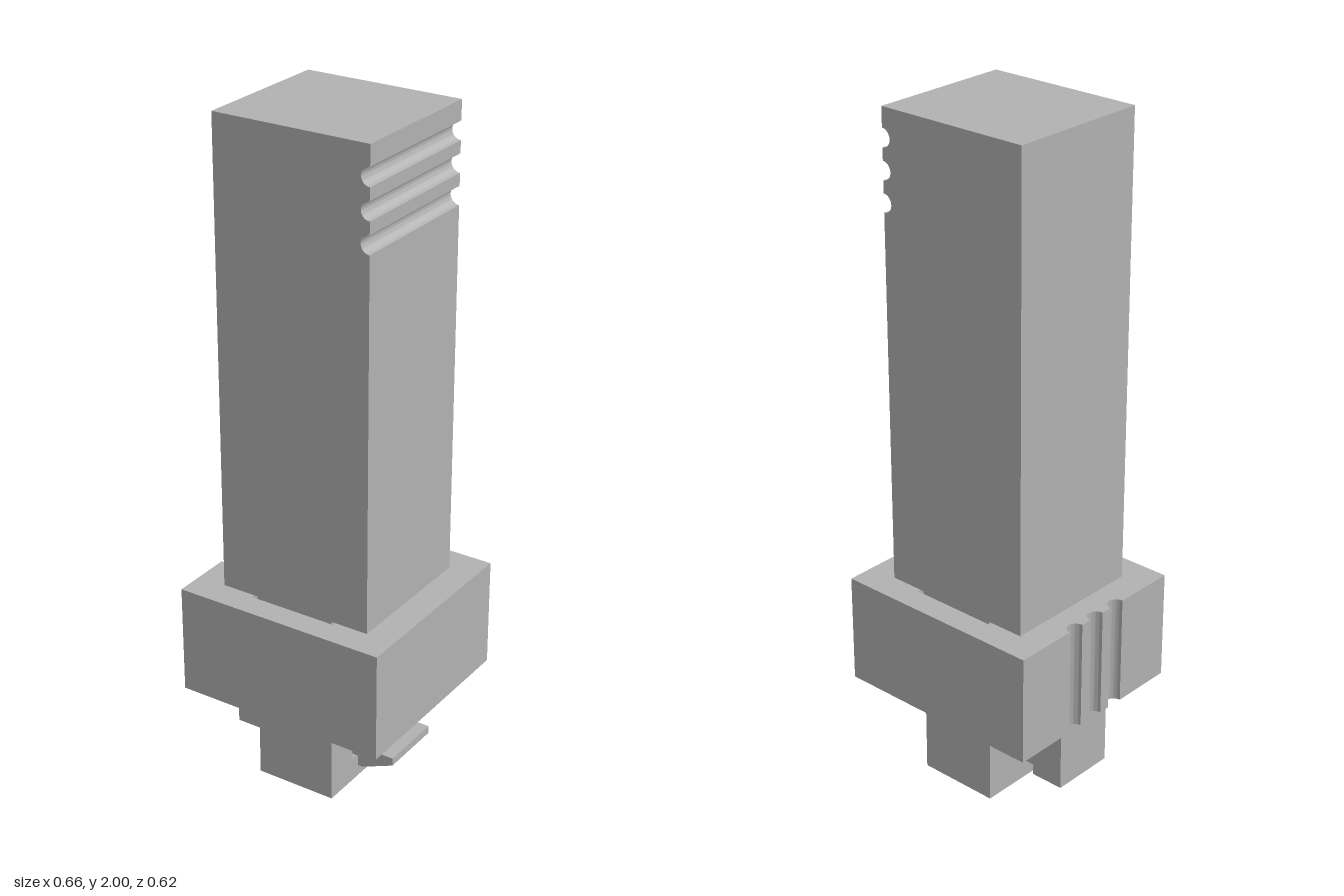
import * as THREE from 'three';
import { toCreasedNormals } from 'three/addons/utils/BufferGeometryUtils.js';

const grey = new THREE.MeshStandardMaterial({ color: 0xb2b2b2 });
grey.name = 'plain grey';

const GROOVE = 0.027;

// Closed outline as a path or shape from [x, y] points
function outline(points, Type = THREE.Shape) {
  return new Type(points.map(([x, y]) => new THREE.Vector2(x, y)));
}

function rect(w, y0, y1, Type) {
  return outline([[-w, y0], [w, y0], [w, y1], [-w, y1]], Type);
}

// Extrusion centred on its own depth axis
function extrude(shape, depth) {
  return new THREE.ExtrudeGeometry(shape, { depth, bevelEnabled: false, curveSegments: 16 })
    .translate(0, 0, -depth / 2);
}

function part(name, geometry) {
  const mesh = new THREE.Mesh(toCreasedNormals(geometry, 0.6), grey);
  mesh.name = name;
  return mesh;
}

// Tall block with three round grooves near the top of its left side
function tower() {
  const s = new THREE.Shape();
  s.moveTo(-0.242, 0.597);
  s.lineTo(0.242, 0.597);
  for (const y of [1.735, 1.825, 1.915]) {
    s.lineTo(0.242, y - GROOVE);
    s.absarc(0.242, y, GROOVE, -Math.PI / 2, Math.PI / 2, true);
  }
  s.lineTo(0.242, 2);
  s.lineTo(-0.242, 2);
  s.closePath();
  return part('tower', extrude(s, 0.442));
}

// Collar with a through slot for the stem and three upright grooves
function collar() {
  const s = new THREE.Shape();
  s.moveTo(-0.33, -0.308);
  s.lineTo(0.33, -0.308);
  s.lineTo(0.33, 0.308);
  s.lineTo(-0.33, 0.308);
  for (const z of [0.088, 0, -0.088]) {
    s.lineTo(-0.33, z + GROOVE);
    s.absarc(-0.33, z, GROOVE, Math.PI / 2, -Math.PI / 2, true);
  }
  s.closePath();
  s.holes.push(rect(0.138, -0.232, 0.232, THREE.Path));
  return part('collar', extrude(s, 0.332).rotateX(-Math.PI / 2).translate(0, 0.431, 0));
}

// Stem under the tower, with a window for the clip
function stem() {
  const s = rect(0.221, 0, 0.597);
  s.holes.push(rect(0.11, 0.075, 0.23, THREE.Path));
  return part('stem', extrude(s, 0.252).rotateY(Math.PI / 2).translate(-0.001, 0, 0));
}

// Clip: a head with two barbed prongs, mirrored about its middle height
function clip() {
  const mid = 0.153, r = 0.018;
  const half = [
    [-0.291, 0.102], [-0.187, 0.102], [-0.187, 0.069], [0.138, 0.069],
    [0.138, 0.102], [0.153, 0.102], [0.256, 0.058], [0.256, 0.034],
  ];
  const s = new THREE.Shape();
  half.forEach(([x, y], i) => (i ? s.lineTo(x, mid - y) : s.moveTo(x, mid - y)));
  // rounded root of the gap between the prongs
  const x = -0.187 + r, y = 0.034 - r;
  s.lineTo(x, mid - 0.034);
  s.absarc(x, mid - y, r, -Math.PI / 2, -Math.PI, true);
  s.lineTo(x - r, mid + y);
  s.absarc(x, mid + y, r, Math.PI, Math.PI / 2, true);
  [...half].reverse().forEach(([px, py]) => s.lineTo(px, mid + py));
  s.closePath();
  return part('clip', extrude(s, 0.2));
}

export function createModel() {
  const model = new THREE.Group();
  model.name = 'keyedPost';
  model.add(tower(), collar(), stem(), clip());
  return model;
}
